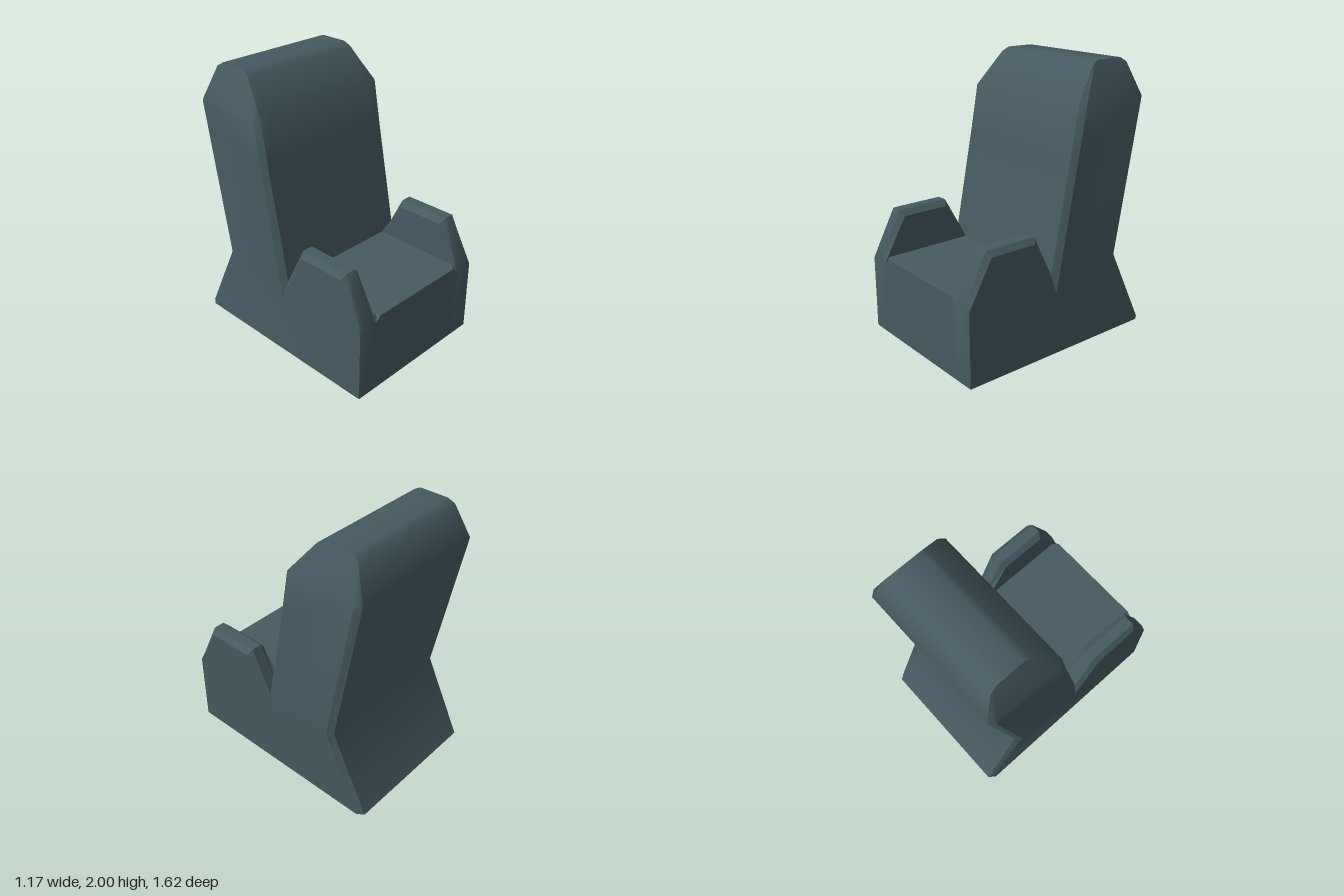
import * as THREE from 'three';
import { toCreasedNormals } from 'three/addons/utils/BufferGeometryUtils.js';

// Side outlines as [z, y], running up the front, over the back and down.
const FRONT = [0.81, 0];
const BACKREST = [[-0.07, 1.4], [-0.13, 1.73], [-0.32, 1.97], [-0.37, 2], [-0.59, 2], [-0.64, 1.97], [-0.74, 1.73], [-0.52, 0.59], [-0.81, 0]];
const BACKREST_INSET = [[-0.11, 1.4], [-0.17, 1.73], [-0.33, 1.97], [-0.37, 2], [-0.59, 2], [-0.63, 1.97], [-0.70, 1.73], [-0.48, 0.59], [-0.76, 0]];

const armOuter = [FRONT, [0.81, 0.55], [0.63, 0.87], [0.27, 0.87], [0.07, 0.46], ...BACKREST_INSET];
const armTop = [FRONT, [0.81, 0.59], [0.65, 0.91], [0.25, 0.91], [0.09, 0.59], ...BACKREST];
const armInner = [FRONT, [0.81, 0.55], [0.63, 0.87], [0.27, 0.87], [0.09, 0.59], ...BACKREST];
const seatEdge = [FRONT, [0.81, 0.55], [0.77, 0.59], [0.25, 0.59], [0.09, 0.59], ...BACKREST];
const seat = [FRONT, [0.81, 0.59], [0.77, 0.59], [0.25, 0.59], [0.09, 0.59], ...BACKREST];

// Outlines from the middle outwards, mirrored to both sides.
const half = [[0.39, seat], [0.43, seatEdge], [0.43, armInner], [0.47, armTop], [0.55, armTop], [0.585, armOuter]];
const stations = [...half.map(([x, p]) => [-x, p]).reverse(), ...half];

const SHOULDER = 1.73;

// The backrest narrows above the shoulder.
function place(x, [z, y]) {
  const limit = 0.585 - Math.max(0, y - SHOULDER) * 0.426;
  return new THREE.Vector3(Math.sign(x) * Math.min(Math.abs(x), limit), y, z);
}

function buildThrone() {
  const positions = [];
  const triangle = (a, b, c) => {
    const area = b.clone().sub(a).cross(c.clone().sub(a)).length();
    if (area > 1e-6) for (const v of [a, b, c]) positions.push(v.x, v.y, v.z);
  };

  // Skin between neighbouring outlines
  const loops = stations.map(([x, outline]) => outline.map((p) => place(x, p)));
  for (let i = 0; i < loops.length - 1; i++) {
    const l = loops[i], r = loops[i + 1];
    for (let j = 0; j < l.length; j++) {
      const k = (j + 1) % l.length;
      triangle(l[j], r[j], r[k]);
      triangle(l[j], r[k], l[k]);
    }
  }

  // Flat sides below the shoulder, slanted sides above it
  const parts = [armOuter.filter((p) => p[1] <= SHOULDER), armOuter.filter((p) => p[1] >= SHOULDER)];
  for (const part of parts) {
    const contour = part.map(([z, y]) => new THREE.Vector2(z, y));
    for (const [a, b, c] of THREE.ShapeUtils.triangulateShape(contour, [])) {
      const left = [a, b, c].map((n) => place(0.585, part[n]));
      const right = [a, b, c].map((n) => place(-0.585, part[n]));
      triangle(left[2], left[1], left[0]);
      triangle(right[0], right[1], right[2]);
    }
  }

  const geometry = new THREE.BufferGeometry();
  geometry.setAttribute('position', new THREE.Float32BufferAttribute(positions, 3));
  return toCreasedNormals(geometry, 0.66);
}

export function createModel() {
  const stone = new THREE.MeshStandardMaterial({ color: 0x455a60 });
  stone.name = 'slate stone';

  const throne = new THREE.Mesh(buildThrone(), stone);
  throne.name = 'stoneSeat';

  const model = new THREE.Group();
  model.name = 'throne';
  model.add(throne);
  return model;
}
